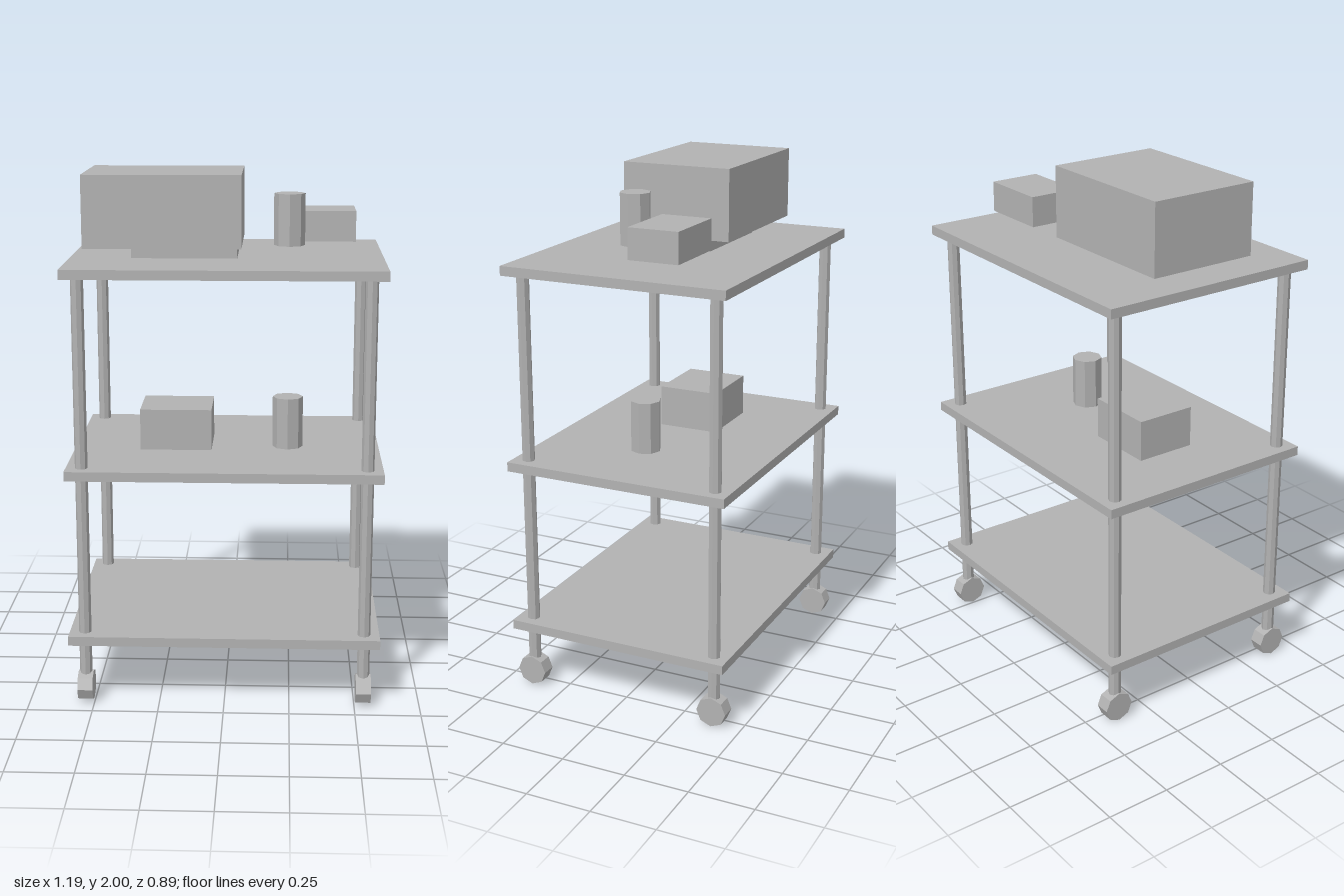
import * as THREE from 'three';

export function createModel() {
  const model = new THREE.Group();
  model.name = 'utilityCart';
  const grey = new THREE.MeshStandardMaterial({ color: 0xb2b2b2, flatShading: true });
  grey.name = 'plain grey';

  function add(name, geometry, x, y, z) {
    const mesh = new THREE.Mesh(geometry, grey);
    mesh.name = name;
    mesh.position.set(x, y, z);
    model.add(mesh);
    return mesh;
  }
  // Box standing on height y
  const box = (name, w, h, d, x, y, z) =>
    add(name, new THREE.BoxGeometry(w, h, d), x, y + h / 2, z);
  // Eight-sided upright cylinder standing on height y
  const post = (name, r, h, x, y, z) =>
    add(name, new THREE.CylinderGeometry(r, r, h, 8), x, y + h / 2, z);

  // Three shelves
  box('bottomShelf', 1.186, 0.036, 0.89, 0, 0.242, 0);
  box('middleShelf', 1.186, 0.036, 0.89, 0, 0.895, 0);
  box('topShelf', 1.186, 0.036, 0.89, 0, 1.647, 0);

  // Legs and wheels at the four corners
  for (const x of [-0.534, 0.534]) {
    for (const z of [-0.386, 0.386]) {
      post('leg', 0.024, 1.58, x, 0.08, z);
      const wheel = add('wheel', new THREE.CylinderGeometry(0.059, 0.059, 0.058, 8), x, 0.059, z);
      wheel.rotation.z = Math.PI / 2;
    }
  }

  // Items on the top shelf
  box('machineBase', 0.4, 0.046, 0.275, -0.16, 1.683, 0);
  box('machineBody', 0.593, 0.272, 0.435, -0.239, 1.728, -0.002);
  post('topCanister', 0.059, 0.195, 0.236, 1.728, 0.077);
  box('topSmallBox', 0.276, 0.117, 0.198, 0.353, 1.728, -0.121);

  // Items on the middle shelf
  box('middleBox', 0.277, 0.16, 0.238, -0.198, 0.931, 0);
  post('middleCanister', 0.059, 0.2, 0.236, 0.931, 0.041);

  return model;
}
